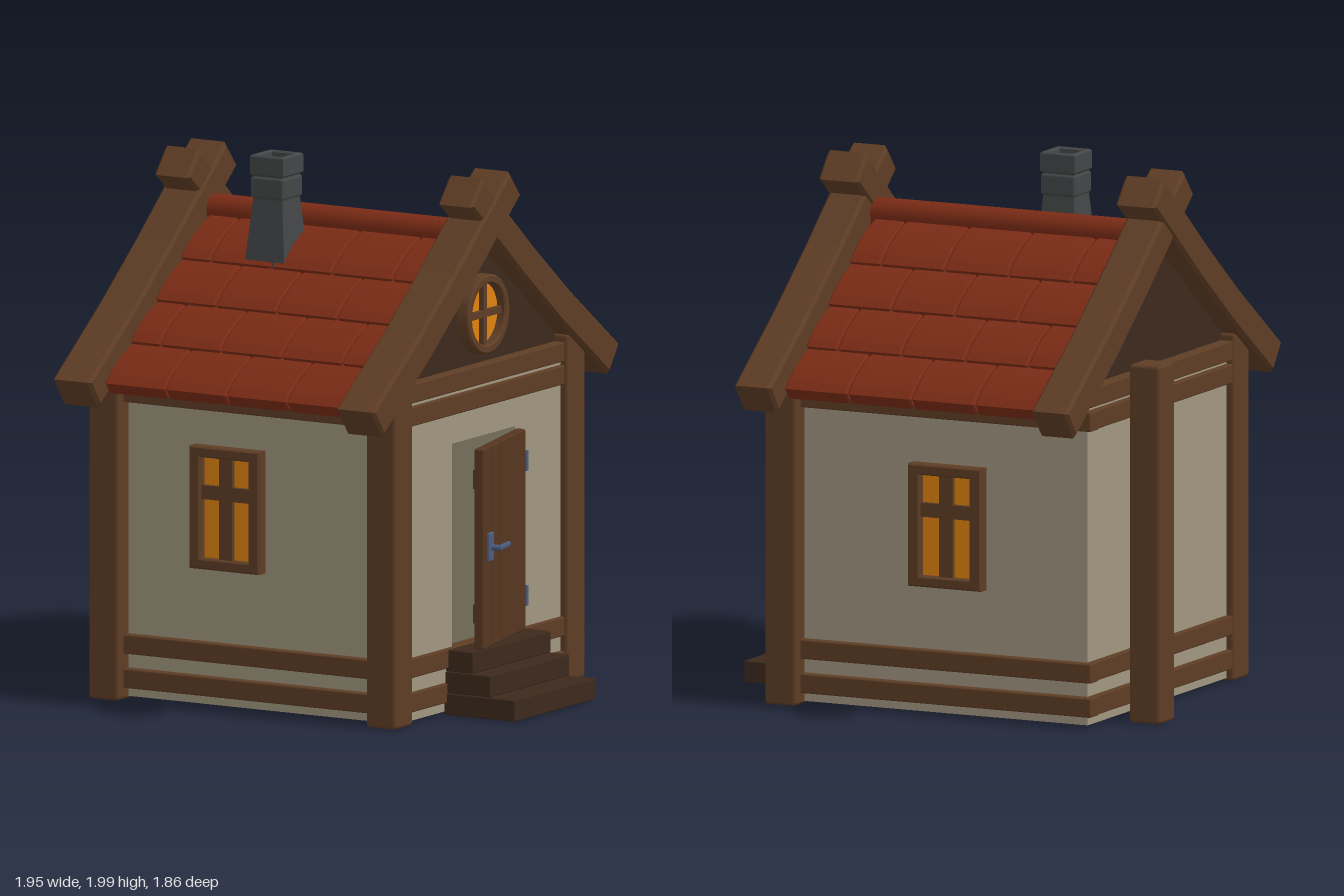
import * as THREE from 'three';
import { RoundedBoxGeometry } from 'three/addons/geometries/RoundedBoxGeometry.js';

const mat = (color) => new THREE.MeshStandardMaterial({ color });
const wood = mat(0x5e3d25), dark = mat(0x3c291c), plaster = mat(0xa09680), clay = mat(0x7a2b15);
const glass = mat(0xe0820f), stone = mat(0x444546), metal = mat(0x4a5c80), plank = mat(0x553620);

function add(parent, name, geometry, material, x = 0, y = 0, z = 0) {
  const mesh = new THREE.Mesh(geometry, material);
  mesh.name = name;
  mesh.position.set(x, y, z);
  parent.add(mesh);
  return mesh;
}

// Box given by its centre and size, optionally with softened edges
function box(parent, name, material, [x, y, z], [w, h, d], r = 0) {
  const g = r ? new RoundedBoxGeometry(w, h, d, 1, r) : new THREE.BoxGeometry(w, h, d);
  return add(parent, name, g, material, x, y, z);
}

function group(parent, name, x = 0, y = 0, z = 0, ry = 0) {
  const g = new THREE.Group();
  g.name = name;
  g.position.set(x, y, z);
  g.rotation.y = ry;
  parent.add(g);
  return g;
}

const polygon = (points) => new THREE.Shape(points.map(([x, y]) => new THREE.Vector2(x, y)));

function extrude(shape, depth, bevel = 0) {
  const g = new THREE.ExtrudeGeometry(shape, {
    depth: depth - 2 * bevel, bevelEnabled: bevel > 0, bevelSize: bevel,
    bevelThickness: bevel, bevelOffset: -bevel, bevelSegments: 1, curveSegments: 32,
  });
  return g.translate(0, 0, bevel);
}

function rectangle(w, h) {
  return polygon([[-w / 2, -h / 2], [w / 2, -h / 2], [w / 2, h / 2], [-w / 2, h / 2]]);
}

// Slightly bowed rafter, outlined by offsetting its centre line
function rafterShape(side) {
  const line = [[-0.13, 1.925], [0, 1.817], [0.25, 1.607], [0.5, 1.41], [0.832, 1.17]];
  const upper = [], lower = [];
  line.forEach(([x, y], i) => {
    const a = line[Math.max(i - 1, 0)], b = line[Math.min(i + 1, line.length - 1)];
    const dx = b[0] - a[0], dy = b[1] - a[1], s = 0.063 / Math.hypot(dx, dy);
    upper.push([side * (x - dy * s), y + dx * s]);
    lower.unshift([side * (x + dy * s), y - dx * s]);
  });
  return polygon([...upper, ...lower]);
}

// Arched roof tile, from its upper end at the origin down along +x
function tileGeometry(width) {
  const s = new THREE.Shape();
  s.moveTo(0, 0);
  s.quadraticCurveTo(0.15, 0.05, 0.27, 0.022);
  s.lineTo(0.268, -0.028);
  s.quadraticCurveTo(0.15, 0, 0, -0.035);
  const g = new THREE.ExtrudeGeometry(s, {
    depth: width - 0.018, bevelEnabled: true, bevelSize: 0.006, bevelThickness: 0.006,
    bevelOffset: -0.006, bevelSegments: 1, curveSegments: 6,
  });
  return g.translate(0, 0, 0.009);
}

function buildWalls(house) {
  const walls = group(house, 'walls');
  const front = rectangle(1.18, 1.23);
  front.holes.push(new THREE.Path([[-0.22, -0.385], [-0.22, 0.37], [0.22, 0.37], [0.22, -0.385]]
    .map(([x, y]) => new THREE.Vector2(x, y))));
  add(walls, 'frontWall', extrude(front, 0.04), plaster, 0, 0.635, 0.55);
  box(walls, 'backWall', plaster, [0, 0.635, -0.645], [1.18, 1.23, 0.04]);
  for (const s of [-1, 1]) box(walls, 'sideWall', plaster, [s * 0.57, 0.635, -0.0375], [0.04, 1.23, 1.18]);
  box(walls, 'floor', dark, [0, 0.07, -0.0375], [1.12, 0.04, 1.2]);

  // Corner posts, one of them standing clear of the back wall
  const frame = group(house, 'timberFrame');
  for (const [x, z, top] of [[-0.602, 0.557, 1.3], [0.602, 0.557, 1.3], [-0.602, -0.632, 1.3], [0.356, -0.81, 1.34]])
    box(frame, 'post', wood, [x, (top + 0.01) / 2, z], [0.128, top - 0.01, 0.128], 0.014);

  // Horizontal rails round all four sides
  for (const y of [0.09, 0.217, 1.15, 1.235]) {
    box(frame, 'frontRail', wood, [0, y, 0.577], [1.14, 0.072, 0.06], 0.006);
    box(frame, 'backRail', wood, [0, y, -0.657], [1.2, 0.072, 0.06], 0.006);
    if (y < 1.2) for (const s of [-1, 1])
      box(frame, 'sideRail', wood, [s * 0.59, y, -0.06], [0.07, 0.072, 1.27], 0.006);
  }
  // The front rails stop at the doorway, so the lower ones sit behind the steps
}

function buildRoof(house) {
  const roof = group(house, 'roof');
  const gable = polygon([[-0.64, 1.19], [0.64, 1.19], [0.64, 1.25], [0, 1.715], [-0.64, 1.25]]);
  add(roof, 'gable', extrude(gable, 1.205), dark, 0, 0, -0.64);

  // Crossed rafters at both ends
  for (const z of [0.57, -0.646]) for (const side of [-1, 1]) {
    const depth = side > 0 ? 0.15 : 0.165;
    add(roof, 'rafter', extrude(rafterShape(side), depth, 0.012), wood, 0, 0, z - depth / 2);
  }

  // Four staggered courses of tiles on each slope
  const length = 1.04, w = length / 4;
  for (const turn of [0, Math.PI]) {
    const slope = group(roof, 'tiles', 0, 0, -0.037, turn);
    for (let row = 0; row < 4; row++) {
      const edges = row % 2 ? [0, 1, 2, 3, 4] : [0, 0.5, 1.5, 2.5, 3.5, 4];
      for (let i = 0; i + 1 < edges.length; i++) {
        const tile = add(slope, 'tile', tileGeometry((edges[i + 1] - edges[i]) * w), clay,
          0.02 + row * 0.176, 1.735 - row * 0.13, -length / 2 + edges[i] * w);
        tile.rotation.z = -0.61;
      }
    }
  }
  const ridge = add(roof, 'ridge', new THREE.CylinderGeometry(0.055, 0.055, 1.1, 16), clay, 0, 1.743, -0.037);
  ridge.rotation.x = Math.PI / 2;

  // Stone chimney with a flared foot and a hollow cap
  const chimney = group(roof, 'chimney', -0.157, 0, -0.2);
  const foot = new THREE.CylinderGeometry(0.062 * Math.SQRT2, 0.09 * Math.SQRT2, 0.3, 4, 1).rotateY(Math.PI / 4);
  foot.computeVertexNormals();
  add(chimney, 'chimneyFoot', foot.toNonIndexed(), stone, 0, 1.69, 0).geometry.computeVertexNormals();
  box(chimney, 'chimneyCore', stone, [0, 1.88, 0], [0.125, 0.1, 0.125]);
  box(chimney, 'chimneyBlock', stone, [0, 1.88, 0], [0.142, 0.08, 0.142], 0.01);
  const cap = rectangle(0.142, 0.142);
  cap.holes.push(rectangle(0.1, 0.1));
  add(chimney, 'chimneyCap', extrude(cap, 0.076, 0.006), stone, 0, 1.924, 0).rotation.x = -Math.PI / 2;
}

// Window facing +z with its back on z = 0
function sideWindow(parent, x, y, z, turn) {
  const win = group(parent, 'window', x, y, z, turn);
  const frame = rectangle(0.3, 0.455);
  frame.holes.push(rectangle(0.205, 0.375));
  add(win, 'windowFrame', extrude(frame, 0.055, 0.006), wood);
  box(win, 'pane', glass, [0, 0, 0.012], [0.21, 0.38, 0.02]);
  box(win, 'mullion', wood, [0, 0, 0.025], [0.055, 0.38, 0.03]);
  box(win, 'crossbar', wood, [0, 0.057, 0.025], [0.21, 0.052, 0.03]);
}

function buildOpenings(house) {
  sideWindow(house, 0.587, 0.717, -0.103, Math.PI / 2);
  sideWindow(house, -0.587, 0.755, -0.13, -Math.PI / 2);

  // Round gable window
  const round = group(house, 'roundWindow', 0, 1.455, 0.56);
  const ring = new THREE.Shape().absarc(0, 0, 0.147, 0, Math.PI * 2);
  ring.holes.push(new THREE.Path().absarc(0, 0, 0.114, 0, Math.PI * 2));
  add(round, 'roundFrame', extrude(ring, 0.055, 0.006), wood);
  add(round, 'roundPane', new THREE.CylinderGeometry(0.118, 0.118, 0.03, 32), glass, 0, 0, 0.005).rotation.x = Math.PI / 2;
  box(round, 'roundMullion', wood, [0, 0, 0.025], [0.026, 0.23, 0.025]);
  box(round, 'roundCrossbar', wood, [0, 0, 0.025], [0.23, 0.026, 0.025]);

  // Plank door standing ajar, hinged on the left
  const door = group(house, 'door', 0.221, 0, 0.615, 0.22);
  for (let i = 0; i < 5; i++)
    box(door, 'doorPlank', plank, [-0.0475 - i * 0.095, 0.627, 0], [0.093, 0.745, 0.04], 0.008);
  for (const y of [0.38, 0.88]) {
    box(door, 'hinge', metal, [0.006, y, 0.004], [0.02, 0.075, 0.04]);
    box(door, 'doorBatten', plank, [-0.2375, y, -0.025], [0.4, 0.07, 0.02]);
  }
  box(door, 'handlePlate', metal, [-0.415, 0.63, 0.024], [0.055, 0.105, 0.014], 0.005);
  const stem = add(door, 'handleStem', new THREE.CylinderGeometry(0.011, 0.011, 0.045, 10), metal, -0.415, 0.628, 0.045);
  stem.rotation.x = Math.PI / 2;
  box(door, 'handleLever', metal, [-0.37, 0.628, 0.063], [0.11, 0.018, 0.016], 0.005);

  // Three entrance steps
  [[0.565, 0.897], [0.555, 0.79], [0.545, 0.712]].forEach(([w, front], i) =>
    box(house, 'step', dark, [0, 0.05 + i * 0.08, (front + 0.595) / 2], [w, 0.08, front - 0.595], 0.005));
}

export function createModel() {
  const model = new THREE.Group();
  model.name = 'cottage';
  // The house stands turned a little on its plot
  const house = group(model, 'house', 0, 0, 0, THREE.MathUtils.degToRad(10));
  buildWalls(house);
  buildRoof(house);
  buildOpenings(house);
  return model;
}
